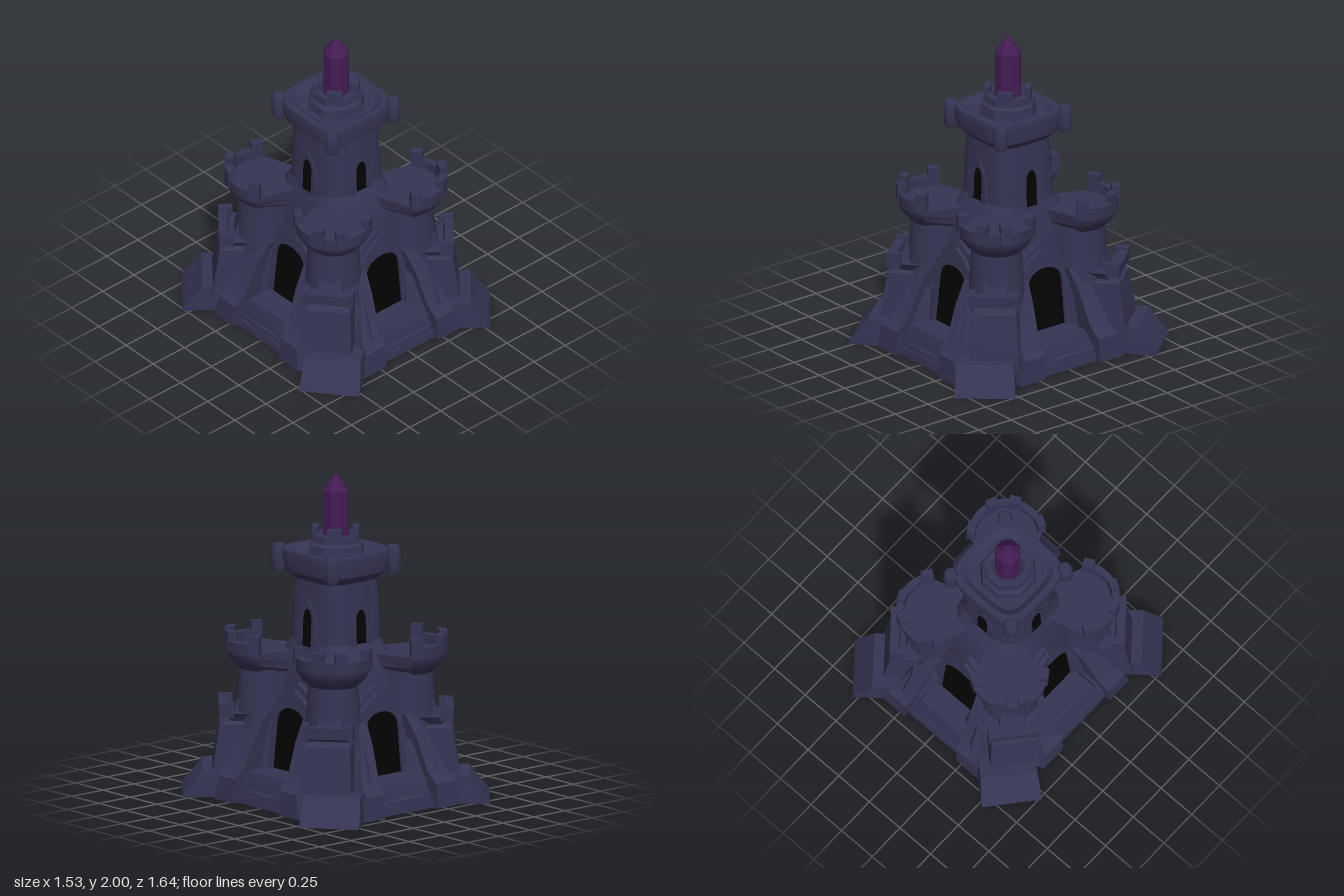
import * as THREE from 'three';
import { toCreasedNormals } from 'three/addons/utils/BufferGeometryUtils.js';

const stone = new THREE.MeshStandardMaterial({ color: 0x353453 });
stone.name = 'slate stone';
const dark = new THREE.MeshStandardMaterial({ color: 0x030303 });
dark.name = 'dark opening';
const violet = new THREE.MeshStandardMaterial({ color: 0x441c54 });
violet.name = 'violet crystal';

function add(parent, name, geo, mat = stone, x = 0, y = 0, z = 0, ry = 0, crease = 0.5) {
  const mesh = new THREE.Mesh(toCreasedNormals(geo, crease), mat);
  mesh.name = name;
  mesh.position.set(x, y, z);
  mesh.rotation.y = ry;
  parent.add(mesh);
  return mesh;
}

// Rounded-square ring, seen from +x towards +z
function ring(y, hx, hz, p = 4, n = 32) {
  return Array.from({ length: n }, (_, i) => {
    const a = (i / n) * Math.PI * 2, c = Math.cos(a), s = Math.sin(a);
    return [hx * Math.sign(c) * Math.abs(c) ** (2 / p), y, hz * Math.sign(s) * Math.abs(s) ** (2 / p)];
  });
}

// Four-sided ring between z0 and z1 around x = cx, half width w in front and wBack behind
const rect = (y, z0, z1, w, cx = 0, wBack = w) =>
  [[cx + wBack, y, z0], [cx + w, y, z1], [cx - w, y, z1], [cx - wBack, y, z0]];

// Skin through rings from bottom to top, closed at both ends
function loft(rings) {
  const n = rings[0].length, pos = rings.flat(2), idx = [];
  for (let j = 0; j < rings.length - 1; j++) {
    for (let i = 0; i < n; i++) {
      const k = (i + 1) % n, a = j * n + i, b = a + n, c = (j + 1) * n + k, d = j * n + k;
      idx.push(a, b, c, a, c, d);
    }
  }
  const top = (rings.length - 1) * n;
  for (let i = 1; i < n - 1; i++) idx.push(0, i, i + 1, top, top + i + 1, top + i);
  const g = new THREE.BufferGeometry();
  g.setAttribute('position', new THREE.Float32BufferAttribute(pos, 3));
  g.setIndex(idx);
  g.computeVertexNormals();
  return g;
}

const lathe = (pts, seg, ...arc) => new THREE.LatheGeometry(pts.map(p => new THREE.Vector2(...p)), seg, ...arc);
const poly = pts => new THREE.Shape(pts.map(p => new THREE.Vector2(...p)));

// Arched outline: straight sides up to y1, then a curve to the crown
function arch(w, y0, y1, top, power) {
  const pts = [[-w, y0], [w, y0]];
  for (let i = 0; i <= 12; i++) {
    const a = (i / 12) * Math.PI;
    pts.push([w * Math.cos(a), y1 + (top - y1) * Math.sin(a) ** power]);
  }
  return poly(pts);
}

// Plate that leans back as it rises
function leaning(shape, z, depth, lean, yMid) {
  const g = new THREE.ExtrudeGeometry(shape, { depth, bevelEnabled: false });
  const p = g.attributes.position;
  for (let i = 0; i < p.count; i++) p.setZ(i, p.getZ(i) + z + (yMid - p.getY(i)) * lean);
  g.computeVertexNormals();
  return g;
}

function framedOpening(parent, name, outline, hole, z, depth, lean, yMid, inset) {
  const frame = outline.clone();
  frame.holes = [hole];
  add(parent, name + 'Frame', leaning(frame, z, depth, lean, yMid));
  add(parent, name + 'Opening', leaning(hole, z + inset, 0.008, lean, yMid), dark);
}

// One doorway with its steps and flanking rocks
function buildEntrance() {
  const g = new THREE.Group();
  g.name = 'entrance';
  const outline = poly([[-0.26, 0], [0.26, 0], [0.235, 0.4], [0.17, 0.58], [0.09, 0.65], [0, 0.7],
    [-0.09, 0.65], [-0.17, 0.58], [-0.235, 0.4]]);
  framedOpening(g, 'door', outline, arch(0.13, 0.2, 0.46, 0.585, 0.7), 0.375, 0.065, 0.12, 0.4, 0.016);
  const lining = arch(0.13, 0.2, 0.46, 0.585, 0.7);
  lining.holes = [arch(0.124, 0.206, 0.46, 0.579, 0.7)];
  add(g, 'doorLining', leaning(lining, 0.39, 0.035, 0.12, 0.4), dark);
  add(g, 'gable', leaning(poly([[-0.19, 0.6], [0.19, 0.6], [0.1, 0.69], [0, 0.74], [-0.1, 0.69]]), 0.33, 0.085, 0.12, 0.4));
  add(g, 'landing', loft([rect(0, 0.36, 0.65, 0.2), rect(0.15, 0.36, 0.63, 0.18), rect(0.2, 0.36, 0.61, 0.16)]));
  add(g, 'step', loft([rect(0, 0.4, 0.665, 0.24), rect(0.05, 0.4, 0.66, 0.23)]));
  for (const s of [-1, 1]) {
    add(g, 'flankRock', loft([
      rect(0, 0.42, 0.7, 0.09, s * 0.3), rect(0.15, 0.42, 0.69, 0.075, s * 0.28),
      rect(0.22, 0.4, 0.62, 0.07, s * 0.265), rect(0.42, 0.38, 0.54, 0.05, s * 0.225),
      rect(0.55, 0.36, 0.46, 0.035, s * 0.19)]));
  }
  return g;
}

// Splayed foot of a corner buttress, facing local +z
function buildFoot() {
  const g = new THREE.Group();
  g.name = 'buttressBase';
  add(g, 'buttressFoot', loft([rect(0, -0.05, 0.465, 0.183), rect(0.03, -0.05, 0.45, 0.183),
    rect(0.1, -0.05, 0.39, 0.178), rect(0.17, -0.05, 0.345, 0.172)]));
  for (const s of [-1, 1]) {
    add(g, 'sideRock', loft([rect(0, -0.05, 0.2, 0.06, s * 0.19), rect(0.17, -0.05, 0.17, 0.05, s * 0.17),
      rect(0.4, -0.05, 0.1, 0.03, s * 0.13)]));
  }
  return g;
}

// Upper buttress block with a small walled ledge
function buildLedge() {
  const g = new THREE.Group();
  g.name = 'buttressTop';
  add(g, 'buttressBlock', loft([rect(0.1, -0.05, 0.335, 0.155), rect(0.25, -0.05, 0.315, 0.148),
    rect(0.45, -0.05, 0.285, 0.138), rect(0.47, -0.05, 0.23, 0.12)]));
  add(g, 'ledge', loft([rect(0.45, -0.05, 0.2, 0.11), rect(0.49, -0.05, 0.23, 0.13), rect(0.52, -0.05, 0.285, 0.155)]));
  add(g, 'ledgeWall', loft([rect(0.5, 0.225, 0.285, 0.155), rect(0.57, 0.235, 0.29, 0.155)]));
  add(g, 'upperBrace', loft([rect(0.45, -0.1, 0.21, 0.09), rect(0.58, -0.1, 0.18, 0.07), rect(0.7, -0.1, 0.12, 0.05)]));
  for (const s of [-1, 1]) {
    add(g, 'ledgePost', new THREE.BoxGeometry(0.04, 0.09, 0.085), stone, s * 0.135, 0.54, 0.245);
  }
  return g;
}

// Corner turret: battlement on the outer side, shoulder narrowing towards the keep
function buildTurret() {
  const g = new THREE.Group();
  g.name = 'turret';
  const start = -1.4, sweep = 2.8;
  add(g, 'turretBody', lathe([[0.19, 0], [0.18, 0.4], [0.165, 0.6], [0.153, 0.8], [0, 0.8]], 20));
  add(g, 'turretFlare', lathe([[0.15, 0.78], [0.2, 0.83], [0.23, 0.88], [0.233, 0.905], [0, 0.905]], 14, start, sweep));
  add(g, 'turretWall', lathe([[0.195, 0.89], [0.232, 0.89], [0.238, 0.965], [0.195, 0.965], [0.195, 0.89]], 14, start, sweep));
  add(g, 'shoulder', loft([[0.5, 0.15], [0.78, 0.15], [0.83, 0.195], [0.88, 0.224], [0.906, 0.228]]
    .map(([y, w]) => rect(y, -0.22, 0.04, w, 0, 0.1))));
  for (const deg of [-76, -19, 19, 76]) {
    const a = THREE.MathUtils.degToRad(deg);
    add(g, 'merlon', new THREE.BoxGeometry(0.07, 0.12, 0.05), stone, Math.sin(a) * 0.215, 0.96, Math.cos(a) * 0.215, a);
  }
  return g;
}

export function createModel() {
  const model = new THREE.Group();
  model.name = 'castle';

  // Ground plinth and sloping main hall
  add(model, 'plinth', loft([ring(0, 0.6, 0.66, 3), ring(0.08, 0.59, 0.65, 3), ring(0.13, 0.54, 0.6, 3)]));
  add(model, 'hall', loft([ring(0.1, 0.325, 0.385), ring(0.35, 0.312, 0.372), ring(0.6, 0.295, 0.355),
    ring(0.73, 0.285, 0.34), ring(0.9, 0.25, 0.28), ring(0.98, 0.225, 0.23)]));

  // Doorways and keep windows on all four sides
  for (let k = 0; k < 4; k++) {
    const side = new THREE.Group();
    side.name = 'entranceSide';
    side.rotation.y = (k * Math.PI) / 2;
    const e = buildEntrance();
    e.position.z = k % 2 ? -0.06 : 0;
    if (k % 2 === 0) add(e, 'doorFloor', new THREE.BoxGeometry(0.25, 0.008, 0.06), dark, 0, 0.204, 0.425);
    side.add(e);
    framedOpening(side, 'window', poly([[-0.09, 0.96], [0, 0.91], [0.09, 0.96], [0.075, 1.13], [0, 1.25], [-0.075, 1.13]]),
      arch(0.04, 0.95, 1.11, 1.185, 1), 0.21, 0.025, 0.04, 1.05, 0.012);
    model.add(side);
  }

  // Corner buttresses and turrets
  for (const sx of [-1, 1]) for (const sz of [-1, 1]) {
    const place = (part, x, z, nx, nz) => {
      part.position.set(sx * x, 0, sz * z);
      part.rotation.y = Math.atan2(sx * nx, sz * nz);
      model.add(part);
    };
    place(buildFoot(), 0.29, 0.38, 0.766, 0.643);
    place(buildLedge(), 0.285, 0.315, 0.766, 0.643);
    place(buildTurret(), 0.3, 0.32, 0.74, 0.67);
  }

  // Keep and its square crown
  add(model, 'keep', loft([ring(0.85, 0.235, 0.235), ring(1, 0.227, 0.227), ring(1.25, 0.218, 0.218), ring(1.37, 0.21, 0.21)]));
  add(model, 'crown', loft([ring(1.35, 0.21, 0.21), ring(1.4, 0.26, 0.26), ring(1.5, 0.278, 0.278),
    ring(1.53, 0.272, 0.272), ring(1.53, 0.235, 0.235), ring(1.5, 0.2, 0.2)]));
  for (const x of [-0.245, 0.245]) for (const z of [-0.245, 0.245]) {
    add(model, 'crownPost', lathe([[0, 1.385], [0.035, 1.385], [0.045, 1.41], [0.045, 1.53], [0.035, 1.55], [0, 1.55]], 10), stone, x, 0, z);
  }

  // Crystal socket
  add(model, 'socket', lathe([[0.18, 1.49], [0.17, 1.56], [0.15, 1.575], [0.145, 1.62], [0.1, 1.62], [0.09, 1.59], [0, 1.59]], 8),
    stone, 0, 0, 0, Math.PI / 8);
  for (let k = 0; k < 4; k++) {
    const a = Math.PI / 4 + (k * Math.PI) / 2;
    add(model, 'socketMerlon', new THREE.BoxGeometry(0.09, 0.07, 0.04), stone, Math.sin(a) * 0.122, 1.635, Math.cos(a) * 0.122, a);
  }
  add(model, 'crystal', lathe([[0, 1.58], [0.083, 1.58], [0.08, 1.89], [0, 2]], 8), violet, 0, 0, 0, Math.PI / 8, 0.3);
  return model;
}
